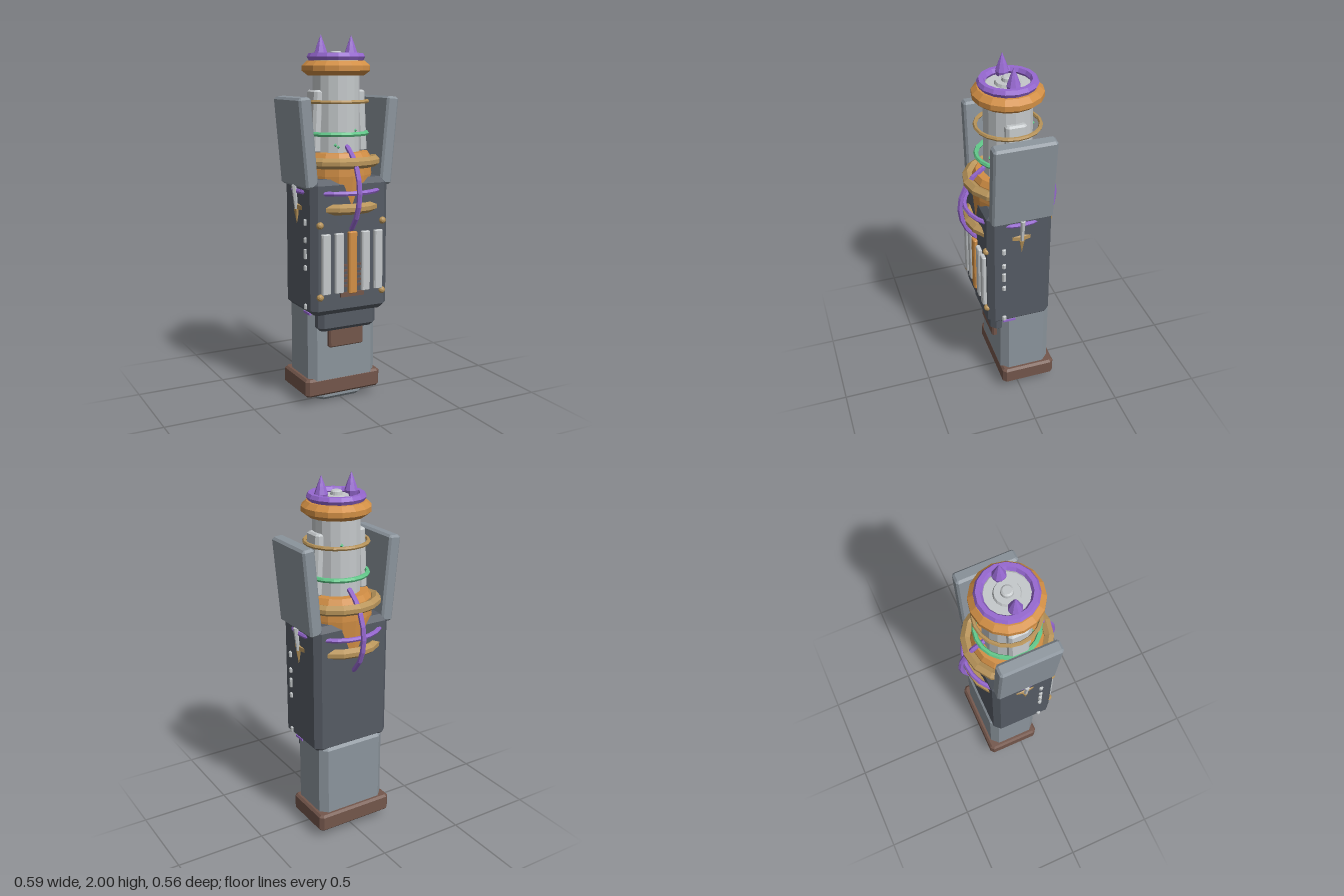
import * as THREE from 'three';

const mat = (name, color, side = THREE.FrontSide) => {
  const m = new THREE.MeshStandardMaterial({ color, flatShading: true, side });
  m.name = name;
  return m;
};

export function createModel() {
  const steel = mat('steel grey', 0x8b949c);
  const slate = mat('dark slate', 0x555b64);
  const silver = mat('pale silver', 0xc4c8ca);
  const brown = mat('brown', 0x73564b);
  const orange = mat('copper orange', 0xd28f45);
  const gold = mat('dull gold', 0xb8945a);
  const purple = mat('purple', 0x9668d0);
  const green = mat('green', 0x62c88a);

  const root = new THREE.Group();
  const add = (name, geo, material, x = 0, y = 0, z = 0, parent = root) => {
    const m = new THREE.Mesh(geo, material);
    m.name = name;
    m.position.set(x, y, z);
    parent.add(m);
    return m;
  };

  // Box centred on the origin: cut = vertical corner chamfer, b = bevel of top and bottom rims
  const chamferBox = (w, h, d, cut, b) => {
    const X = w / 2 - b, Z = d / 2 - b, c = cut;
    const pts = [[X - c, -Z], [X, -Z + c], [X, Z - c], [X - c, Z], [-X + c, Z], [-X, Z - c], [-X, -Z + c], [-X + c, -Z]];
    const shape = new THREE.Shape(pts.map(p => new THREE.Vector2(p[0], p[1])));
    const g = new THREE.ExtrudeGeometry(shape, { depth: h - 2 * b, bevelSize: b, bevelThickness: b, bevelSegments: 1 });
    g.translate(0, 0, -(h - 2 * b) / 2);
    g.rotateX(-Math.PI / 2);
    return g;
  };
  const lathe = (pts, sides) => new THREE.LatheGeometry(pts.map(p => new THREE.Vector2(p[0], p[1])), sides);
  const flatRing = (r, tube, sides = 20, around = 6) => new THREE.TorusGeometry(r, tube, around, sides).rotateX(Math.PI / 2);

  // Foot, base and lower column
  add('foot', chamferBox(0.3, 0.08, 0.21, 0.03, 0.02), steel, 0, 0.045, -0.04);
  add('base', chamferBox(0.46, 0.1, 0.31, 0.012, 0.012), brown, 0, 0.1, -0.055);
  add('lowerColumn', chamferBox(0.41, 0.43, 0.285, 0.03, 0.015), steel, 0, 0.34, -0.043);

  // Main housing and chin
  add('housing', chamferBox(0.46, 0.73, 0.355, 0.015, 0.03), slate, 0, 0.893, 0.003);
  add('chin', chamferBox(0.35, 0.13, 0.12, 0.015, 0.02), slate, 0, 0.495, 0.092);
  add('chinLatch', chamferBox(0.21, 0.14, 0.07, 0.006, 0.006), brown, 0, 0.4, 0.093);
  for (const s of [-1, 1]) add('waistTrim', new THREE.BoxGeometry(0.012, 0.012, 0.07), purple, s * 0.205, 0.525, 0.06);

  // Front slats with vent bars behind the centre strip
  for (const x of [-0.157, -0.079, 0.079, 0.157])
    add('slat', chamferBox(0.05, 0.325, 0.03, 0.004, 0.004), silver, x, 0.812, 0.187);
  add('centreSlat', chamferBox(0.05, 0.335, 0.036, 0.004, 0.004), orange, 0, 0.81, 0.185);
  for (let i = 0; i < 5; i++) add('ventBar', new THREE.BoxGeometry(0.108, 0.012, 0.014), brown, 0, 0.685 + i * 0.028, 0.182);
  add('ventSill', new THREE.BoxGeometry(0.14, 0.025, 0.02), brown, 0, 0.637, 0.182);

  // Fittings on both sides
  for (const s of [-1, 1]) {
    for (const y of [0.635, 1.022]) add('bolt', new THREE.IcosahedronGeometry(0.02, 1), gold, s * 0.187, y, 0.18);
    for (const [y, h] of [[1.03, 0.035], [0.935, 0.03], [0.86, 0.055], [0.785, 0.03], [0.572, 0.03]])
      add('sideStud', chamferBox(0.024, h, 0.022, 0.004, 0.004), silver, s * 0.229, y, 0.097);

    // Hinge rod and pointed drop below each side panel
    const rod = add('hingeRod', new THREE.CylinderGeometry(0.014, 0.009, 0.14, 6), silver, s * 0.245, 1.15, 0);
    rod.rotation.z = -s * 0.1;
    add('hingePoint', new THREE.ConeGeometry(0.016, 0.08, 5).rotateX(Math.PI), gold, s * 0.236, 1.05, 0);

    // Tilted side panel
    const panel = add('sidePanel', chamferBox(0.07, 0.47, 0.33, 0.004, 0.012), steel, s * 0.239, 1.447, 0);
    panel.rotation.z = -s * 0.09;

    // Tapered barrel rail
    const rail = add('barrelRail', chamferBox(0.055, 0.33, 0.11, 0.008, 0.01), silver, s * 0.131, 1.55, 0);
    rail.rotation.z = s * 0.05;

    // Tip spikes
    add('tipSpike', lathe([[0.001, 0], [0.03, 0.01], [0.036, 0.035], [0.022, 0.075], [0.001, 0.128]], 8), purple, s * 0.09, 1.872, 0);
  }

  // Copper collar rising out of the housing
  add('collar', lathe([[0, 1.08], [0.178, 1.08], [0.193, 1.27], [0.188, 1.36], [0.17, 1.39], [0, 1.39]], 16), orange);

  // Barrel with stepped end cap
  add('barrel', lathe([[0, 1.36], [0.128, 1.36], [0.125, 1.87], [0.11, 1.88], [0.068, 1.88], [0.062, 1.895],
    [0.032, 1.895], [0.03, 1.912], [0.022, 1.918], [0, 1.918]], 16), silver);
  add('muzzleRing', lathe([[0.115, 1.79], [0.15, 1.79], [0.183, 1.815], [0.183, 1.842], [0.155, 1.867], [0.115, 1.867]], 16), orange);
  add('muzzleHoop', flatRing(0.134, 0.022, 16), purple, 0, 1.888, 0);
  add('barrelHoop', flatRing(0.167, 0.011), gold, 0, 1.655, 0);
  add('energyHoop', flatRing(0.165, 0.013), green, 0, 1.487, 0);

  // Small green lights on the barrel, front and back
  for (const [a, y] of [[-0.5, 1.43], [-0.38, 1.42], [0.45, 1.505], [2.8, 1.66]])
    add('light', new THREE.OctahedronGeometry(0.011), green, Math.sin(a) * 0.126, y, Math.cos(a) * 0.126);

  // Gold hoops around the collar, the lower one half sunk in the housing
  const hoop = [[0.19, 1.325], [0.215, 1.312], [0.24, 1.33], [0.24, 1.352], [0.215, 1.37], [0.19, 1.357], [0.19, 1.325]];
  add('upperHoop', lathe(hoop, 16), gold);
  add('lowerHoop', lathe(hoop, 16), gold, 0, -0.24, 0);

  // Crossed purple loops
  add('levelLoop', flatRing(0.235, 0.013, 24), purple, 0, 1.187, 0);
  add('uprightLoop', new THREE.TorusGeometry(0.266, 0.014, 6, 24).rotateY(Math.PI / 2), purple, 0, 1.187, 0);

  return root;
}
